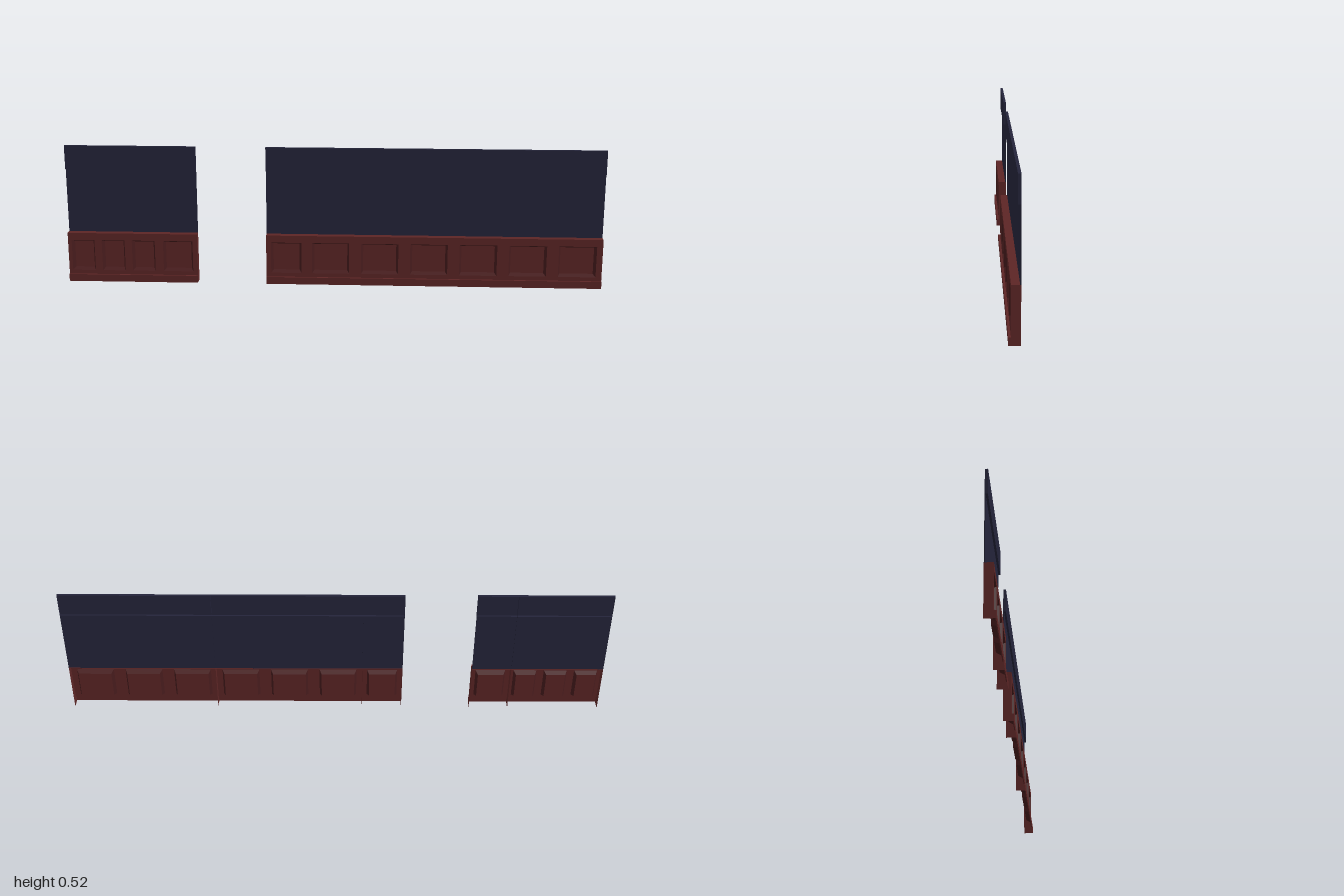
import * as THREE from 'three';
import { mergeGeometries } from 'three/addons/utils/BufferGeometryUtils.js';

const material = (name, color) => {
  const m = new THREE.MeshStandardMaterial({ color, side: THREE.DoubleSide });
  m.name = name;
  return m;
};

// depths of the layers
const BACK = -0.018, WALL = -0.015, FRIEZE = -0.008, PANEL = -0.007, FACE = 0.012, FOOT = 0.02;

// flat four-cornered face, corners counter-clockwise from its front
function quad(a, b, c, d) {
  const g = new THREE.BufferGeometry();
  g.setAttribute('position', new THREE.Float32BufferAttribute([...a, ...b, ...c, ...a, ...c, ...d], 3));
  g.computeVertexNormals();
  return g;
}

// sweep a [y, z] profile, listed from top to bottom, along x
function sweep(profile, x0, x1) {
  const strips = [];
  for (let i = 0; i < profile.length - 1; i++) {
    const [y0, z0] = profile[i], [y1, z1] = profile[i + 1];
    strips.push(quad([x0, y0, z0], [x0, y1, z1], [x1, y1, z1], [x1, y0, z0]));
  }
  return strips;
}

// filled end of a profile, facing +x or -x
function endCap(profile, x, side) {
  const shape = new THREE.Shape(profile.map(([y, z]) => new THREE.Vector2(-z * side, y)));
  return new THREE.ShapeGeometry(shape).rotateY(side * Math.PI / 2).translate(x, 0, 0).toNonIndexed().deleteAttribute('uv');
}

const rectangle = (x0, y0, x1, y1) => [[x0, y0], [x1, y0], [x1, y1], [x0, y1]];
const toPoints = (corners) => corners.map(([x, y]) => new THREE.Vector2(x, y));

export function createModel() {
  const group = new THREE.Group();
  const red = material('red wood', 0x5c2525);
  const darkRed = material('dark red wood', 0x451b1c);
  const blue = material('navy wall', 0x24243a);
  const darkBlue = material('dark navy', 0x1d1d2e);

  const friezeProfile = [[0.518, BACK], [0.518, FRIEZE], [0.428, FRIEZE], [0.428, WALL]];
  const baseProfile = [[0.187, BACK], [0.187, FACE], [0.027, FACE], [0.027, FOOT], [0, FOOT]];

  // one wall section with a row of sunk panels
  function section(x0, x1, count) {
    const part = new THREE.Group();
    part.name = 'wallSection';
    const add = (name, geometries, mat) => {
      const mesh = new THREE.Mesh(mergeGeometries(geometries), mat);
      mesh.name = name;
      part.add(mesh);
    };
    const ends = (profile) => [endCap(profile, x0, -1), endCap(profile, x1, 1)];

    // wall and its thin end returns
    add('wall', sweep([[0.428, WALL], [0.187, WALL]], x0, x1), blue);
    add('wallEdges', ends([[0.428, BACK], [0.428, WALL], [0.187, WALL], [0.187, BACK]]), darkBlue);

    // raised strip along the top
    add('frieze', [...sweep(friezeProfile, x0, x1), ...ends([...friezeProfile, [0.428, BACK]])], blue);

    // cap rail, skirting and ends of the wainscot
    add('capRail', sweep(baseProfile.slice(0, 2), x0, x1), red);
    add('skirting', sweep(baseProfile.slice(2), x0, x1), red);
    add('wainscotEnds', ends([...baseProfile, [0, BACK]]), red);

    // frame face with openings, bevelled reveals and sunk panels
    const frame = new THREE.Shape(toPoints(rectangle(x0, 0.027, x1, 0.187)));
    const reveals = [], panels = [];
    const pitch = (x1 - x0) / count, margin = pitch * 0.12, bevel = 0.008;
    for (let i = 0; i < count; i++) {
      const left = x0 + i * pitch + margin, right = left + pitch - 2 * margin;
      const outer = rectangle(left, 0.042, right, 0.16);
      const inner = rectangle(left + bevel, 0.042 + bevel, right - bevel, 0.16 - bevel);
      frame.holes.push(new THREE.Path(toPoints(outer)));
      const o = outer.map((p) => [...p, FACE]), n = inner.map((p) => [...p, PANEL]);
      for (let k = 0; k < 4; k++) {
        const j = (k + 1) % 4;
        reveals.push(quad(o[k], o[j], n[j], n[k]));
      }
      panels.push(quad(...n));
    }
    add('wainscotFrame', [new THREE.ShapeGeometry(frame).translate(0, 0, FACE)], red);
    add('panelReveals', reveals, darkRed);
    add('panels', panels, red);
    group.add(part);
  }

  // short wall, gap, long wall
  section(-1, -0.657, 3);
  section(-0.657, -0.51, 1);
  section(-0.25, -0.1, 1);
  section(-0.1, 0.45, 3);
  section(0.45, 1, 3);
  return group;
}
